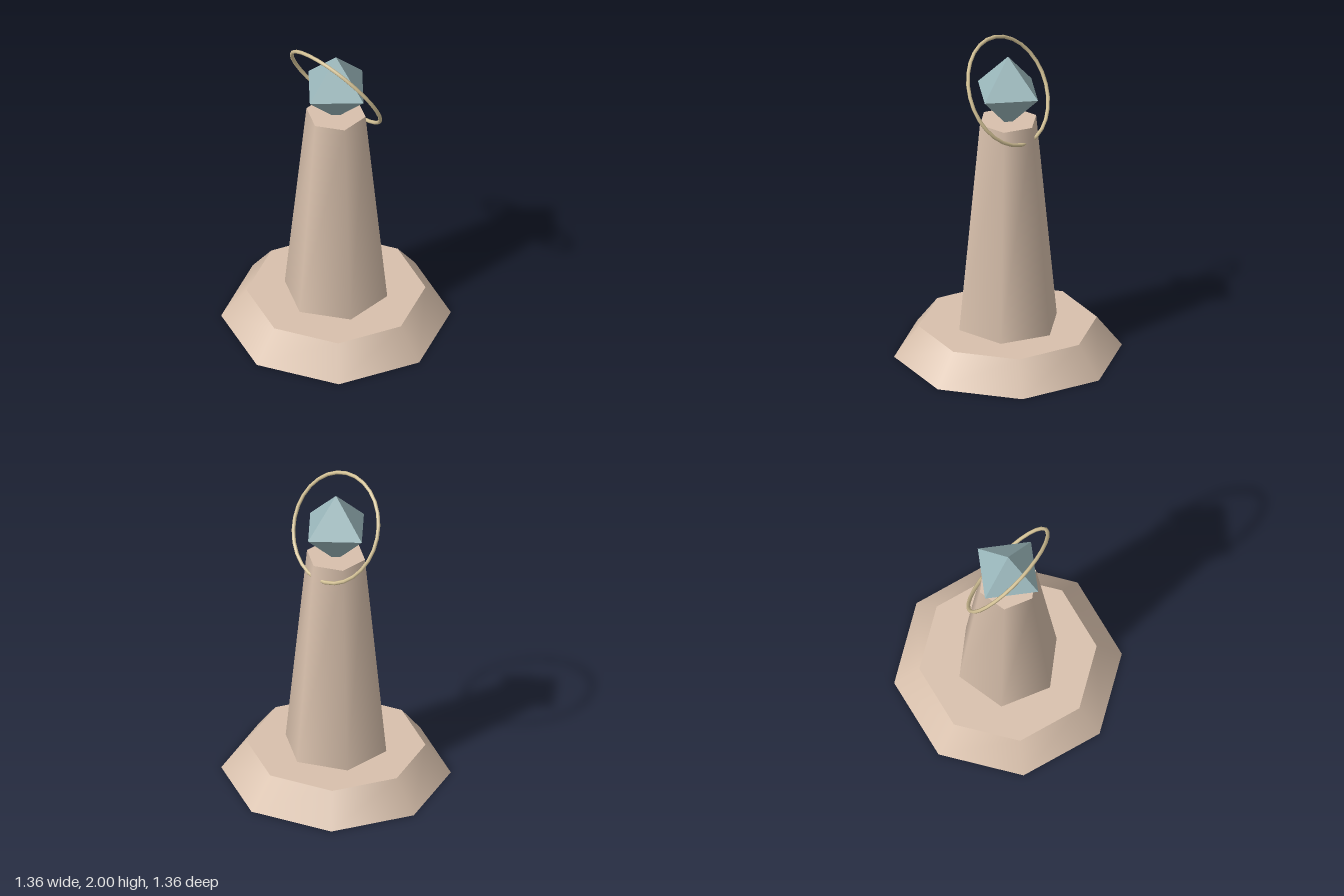
import * as THREE from 'three';

export function createModel() {
  const model = new THREE.Group();
  const material = (name, color, flatShading = false) => {
    const m = new THREE.MeshStandardMaterial({ color, flatShading });
    m.name = name;
    return m;
  };
  const stone = material('sandstone', 0xd8c0ac);
  const crystalBlue = material('pale crystal blue', 0x9ab7bb, true);
  const gold = material('pale gold', 0xd6c498);

  const add = (name, geometry, mat, y) => {
    const mesh = new THREE.Mesh(geometry, mat);
    mesh.name = name;
    mesh.position.y = y;
    model.add(mesh);
    return mesh;
  };

  // Octagonal plinth and tapered hexagonal column, softly shaded round the sides
  add('plinth', new THREE.CylinderGeometry(0.53, 0.68, 0.19, 8), stone, 0.095);
  add('column', new THREE.CylinderGeometry(0.18, 0.312, 1.32, 6), stone, 0.85);

  // Faceted crystal balanced on the column
  add('crystal', new THREE.OctahedronGeometry(0.225), crystalBlue, 1.7);

  // Thin ring tipped towards the front around the crystal
  const ring = add('ring', new THREE.TorusGeometry(0.33, 0.0115, 6, 28), gold, 1.7);
  ring.rotation.x = 0.5;

  return model;
}
